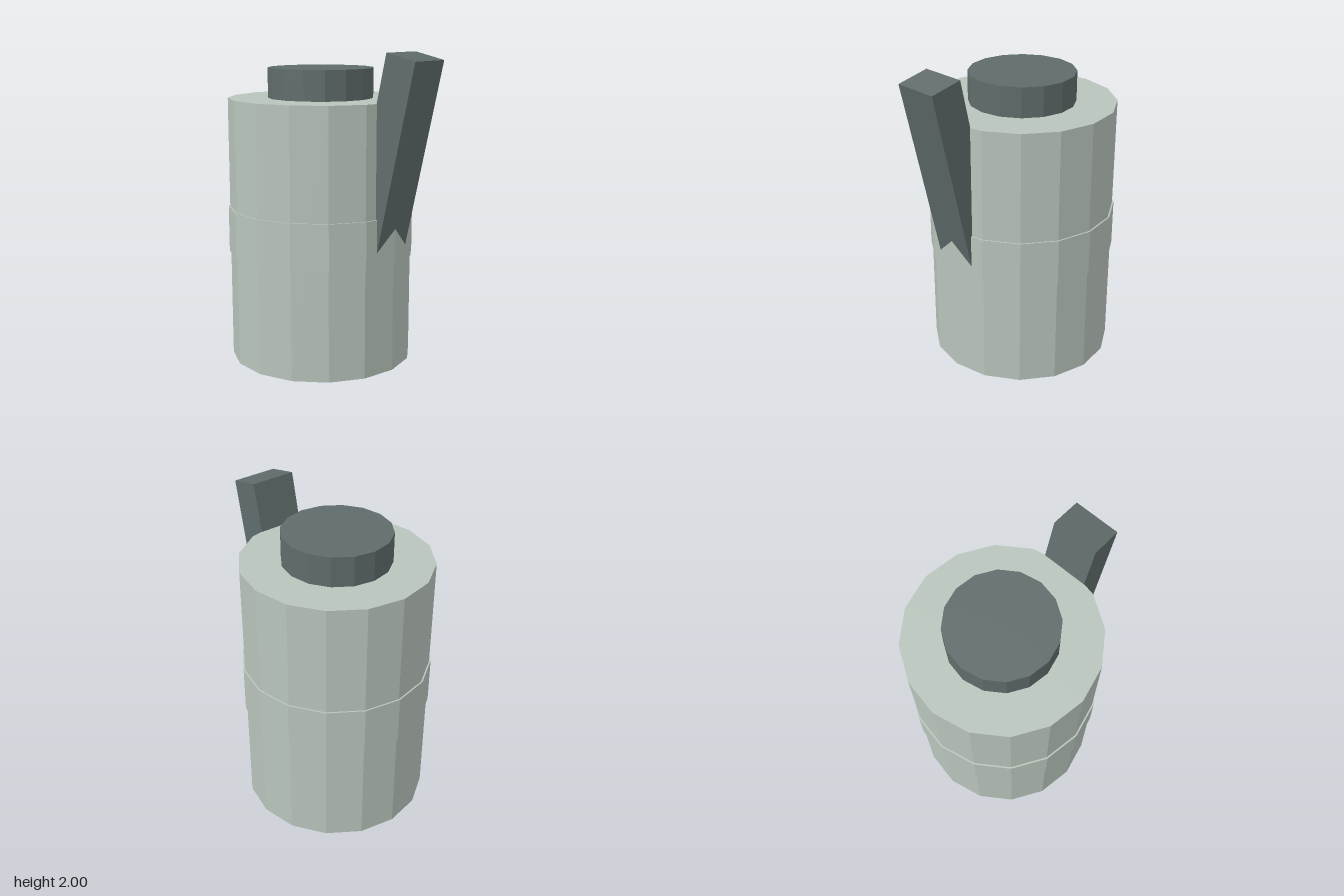
import * as THREE from 'three';

export function createModel() {
  const model = new THREE.Group();
  const paleGrey = new THREE.MeshStandardMaterial({ color: 0xb8c4bb, flatShading: true });
  paleGrey.name = 'pale grey green';
  const slate = new THREE.MeshStandardMaterial({ color: 0x5f6c6b, flatShading: true });
  slate.name = 'dark slate';

  const axisX = -0.118;

  // Upright 16-sided drum between two heights
  function drum(name, radius, bottom, top, material) {
    const mesh = new THREE.Mesh(new THREE.CylinderGeometry(radius, radius, top - bottom, 16), material);
    mesh.name = name;
    mesh.position.set(axisX, (bottom + top) / 2, 0);
    model.add(mesh);
  }

  drum('body', 0.593, 0, 1.7, paleGrey);
  drum('band', 0.603, 0.7, 1.0, paleGrey);
  drum('fuseCap', 0.338, 1.7, 1.89, slate);

  // Safety lever leaning outwards, its foot sunk into the body
  const tilt = 0.22, length = 1.5;
  const lever = new THREE.Mesh(new THREE.BoxGeometry(0.21, length, 0.296), slate);
  lever.name = 'lever';
  lever.rotation.z = -tilt;
  lever.position.set(0.613 - Math.sin(tilt) * length / 2, 1.977 - Math.cos(tilt) * length / 2, 0);
  model.add(lever);

  return model;
}
